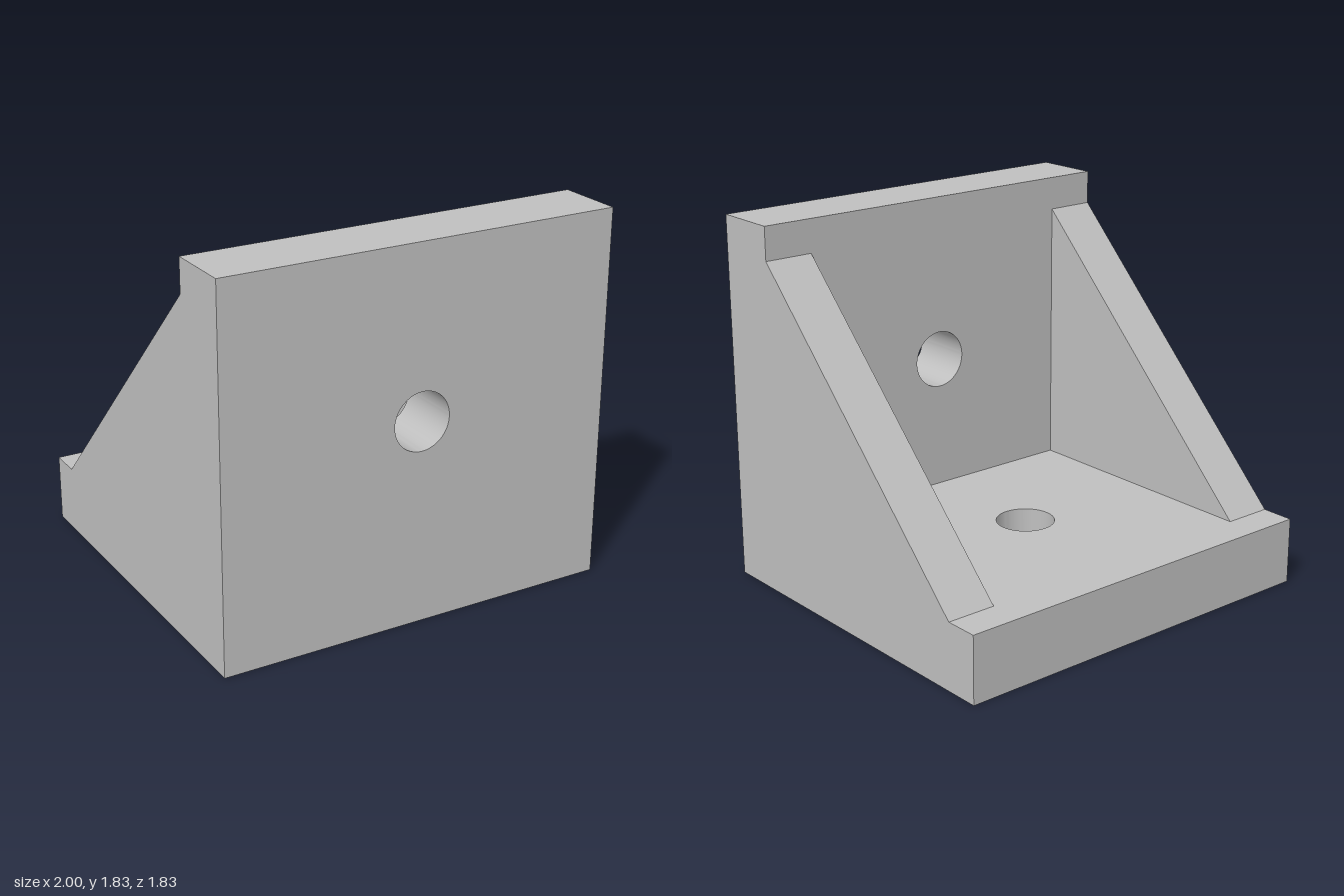
import * as THREE from 'three';
import { toCreasedNormals } from 'three/addons/utils/BufferGeometryUtils.js';

const HALF_WIDTH = 1, HALF_DEPTH = 0.917, HEIGHT = 1.833;
const THICK = 0.333, RIB = 0.25, HOLE_RADIUS = 0.143;
const WALL_BACK = HALF_DEPTH - THICK;

// Rectangular plate spanning the full width, with one round bolt hole
function drilledPlate(bottom, top, holeY, depth) {
  const shape = new THREE.Shape([
    new THREE.Vector2(-HALF_WIDTH, bottom), new THREE.Vector2(HALF_WIDTH, bottom),
    new THREE.Vector2(HALF_WIDTH, top), new THREE.Vector2(-HALF_WIDTH, top),
  ]);
  shape.holes.push(new THREE.Path().absarc(0, holeY, HOLE_RADIUS, 0, Math.PI * 2, true));
  const geometry = new THREE.ExtrudeGeometry(shape, { depth, bevelEnabled: false, curveSegments: 48 });
  return toCreasedNormals(geometry, Math.PI / 6);
}

export function createModel() {
  const model = new THREE.Group();
  model.name = 'cornerBracket';
  const grey = new THREE.MeshStandardMaterial({ color: 0xbfbfbf });
  grey.name = 'grey';

  const add = (name, geometry) => {
    const mesh = new THREE.Mesh(geometry, grey);
    mesh.name = name;
    model.add(mesh);
  };

  // Upright mounting plate at the front
  add('uprightPlate', drilledPlate(0, HEIGHT, 1, THICK).translate(0, 0, WALL_BACK));

  // Horizontal plate behind it, laid flat
  add('basePlate', drilledPlate(-WALL_BACK, HALF_DEPTH, 0.085, THICK).rotateX(-Math.PI / 2));

  // Triangular ribs flush with both sides, profile drawn in z and y
  const profile = new THREE.Shape([
    new THREE.Vector2(-0.75, THICK),
    new THREE.Vector2(WALL_BACK, THICK),
    new THREE.Vector2(WALL_BACK, 1.667),
  ]);
  for (const [name, outerX] of [['leftRib', HALF_WIDTH], ['rightRib', RIB - HALF_WIDTH]]) {
    const rib = new THREE.ExtrudeGeometry(profile, { depth: RIB, bevelEnabled: false });
    add(name, rib.rotateY(-Math.PI / 2).translate(outerX, 0, 0));
  }

  return model;
}
